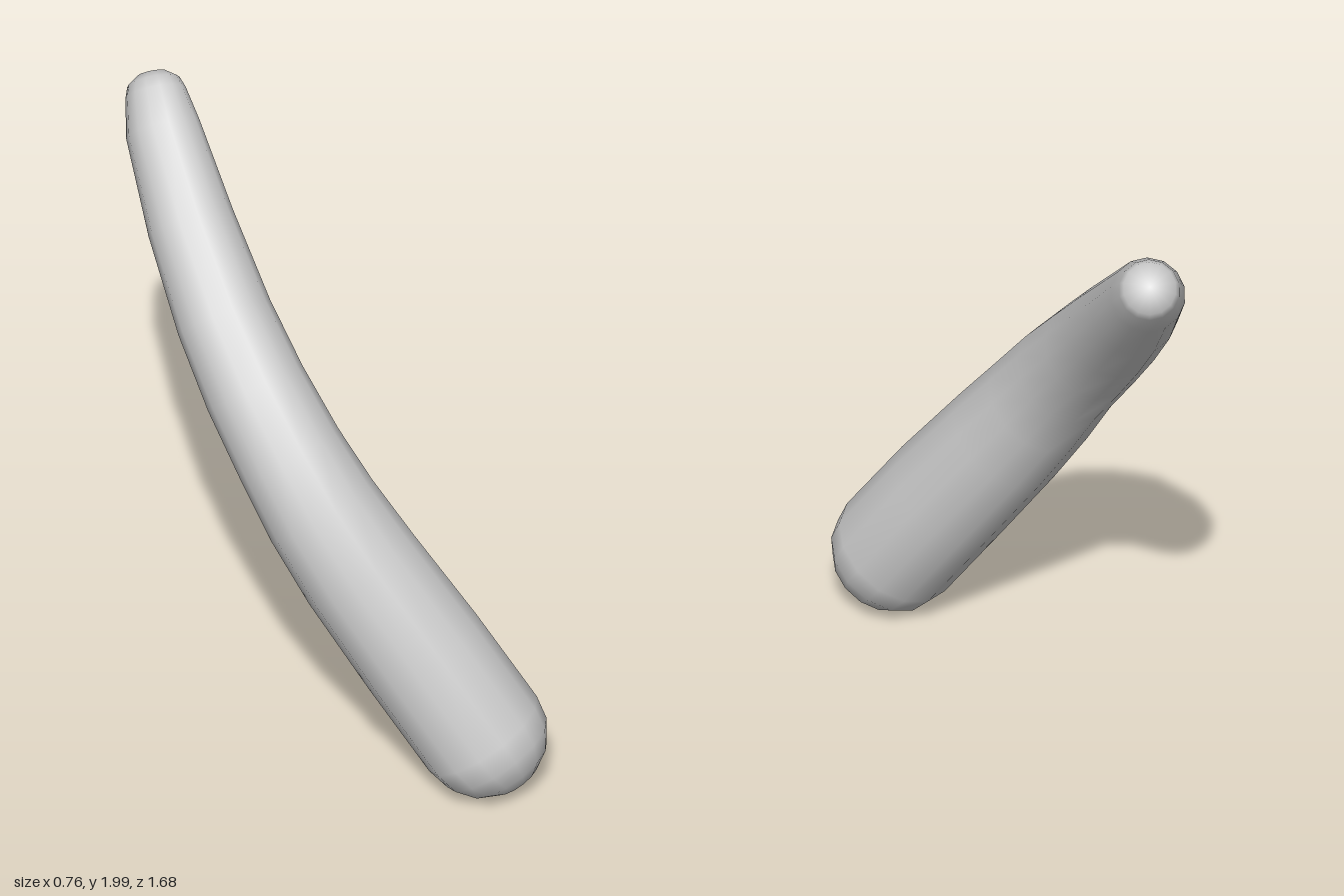
import * as THREE from 'three';

const SIDES = 14;

// Centre line of the body from thick end to thin end: x, y, z, radius
const BODY = [
  [0.18, 0.2, 0.645, 0.203],
  [0.055, 0.47, 0.495, 0.203],
  [-0.07, 0.74, 0.335, 0.194],
  [-0.14, 0.92, 0.22, 0.183],
  [-0.185, 1.08, 0.11, 0.171],
  [-0.212, 1.25, -0.045, 0.162],
  [-0.217, 1.42, -0.215, 0.152],
  [-0.192, 1.63, -0.445, 0.137],
  [-0.15, 1.835, -0.67, 0.117],
  [-0.122, 1.91, -0.755, 0.095],
];

// Rounded cap: shrinking rings from an end station outwards to a pole
function capRings(end, inner, height, steps) {
  const dir = end.p.clone().sub(inner.p).normalize();
  return Array.from({ length: steps }, (_, i) => {
    const a = ((i + 1) / steps) * Math.PI / 2;
    return {
      p: end.p.clone().addScaledVector(dir, height * Math.sin(a)),
      r: i === steps - 1 ? 0 : end.r * Math.cos(a),
    };
  });
}

// Skin circular rings, with a single vertex at each pole
function skin(stations) {
  const pos = [], index = [], last = stations.length - 1;
  const side = new THREE.Vector3(), up = new THREE.Vector3();
  stations.forEach(({ p, r }, i) => {
    if (r === 0) { pos.push(p.x, p.y, p.z); return; }
    const t = stations[i + 1].p.clone().sub(stations[i - 1].p).normalize();
    side.set(1, 0, 0).addScaledVector(t, -t.x).normalize();
    up.crossVectors(t, side);
    for (let k = 0; k < SIDES; k++) {
      const a = (k / SIDES) * Math.PI * 2;
      const v = p.clone().addScaledVector(side, r * Math.cos(a)).addScaledVector(up, r * Math.sin(a));
      pos.push(v.x, v.y, v.z);
    }
  });
  const at = (ring, k) => 1 + (ring - 1) * SIDES + (k % SIDES);
  const top = pos.length / 3 - 1;
  for (let k = 0; k < SIDES; k++) {
    index.push(0, at(1, k + 1), at(1, k));
    for (let i = 1; i < last - 1; i++) {
      const a = at(i, k), b = at(i, k + 1), c = at(i + 1, k + 1), d = at(i + 1, k);
      index.push(a, b, c, a, c, d);
    }
    index.push(at(last - 1, k), at(last - 1, k + 1), top);
  }
  const geo = new THREE.BufferGeometry();
  geo.setAttribute('position', new THREE.Float32BufferAttribute(pos, 3));
  geo.setIndex(index);
  geo.computeVertexNormals();
  return geo;
}

export function createModel() {
  const group = new THREE.Group();
  group.name = 'curvedVegetable';

  const body = BODY.map(([x, y, z, r]) => ({ p: new THREE.Vector3(x, y, z), r }));
  const n = body.length;
  const thickCap = capRings(body[0], body[1], 0.2, 4).reverse();
  const thinCap = capRings(body[n - 1], body[n - 2], 0.07, 3);

  // Bent tapering body with both rounded ends
  const mesh = new THREE.Mesh(
    skin([...thickCap, ...body, ...thinCap]),
    new THREE.MeshStandardMaterial({ color: 0xcccccc })
  );
  mesh.name = 'body';
  group.add(mesh);
  return group;
}
